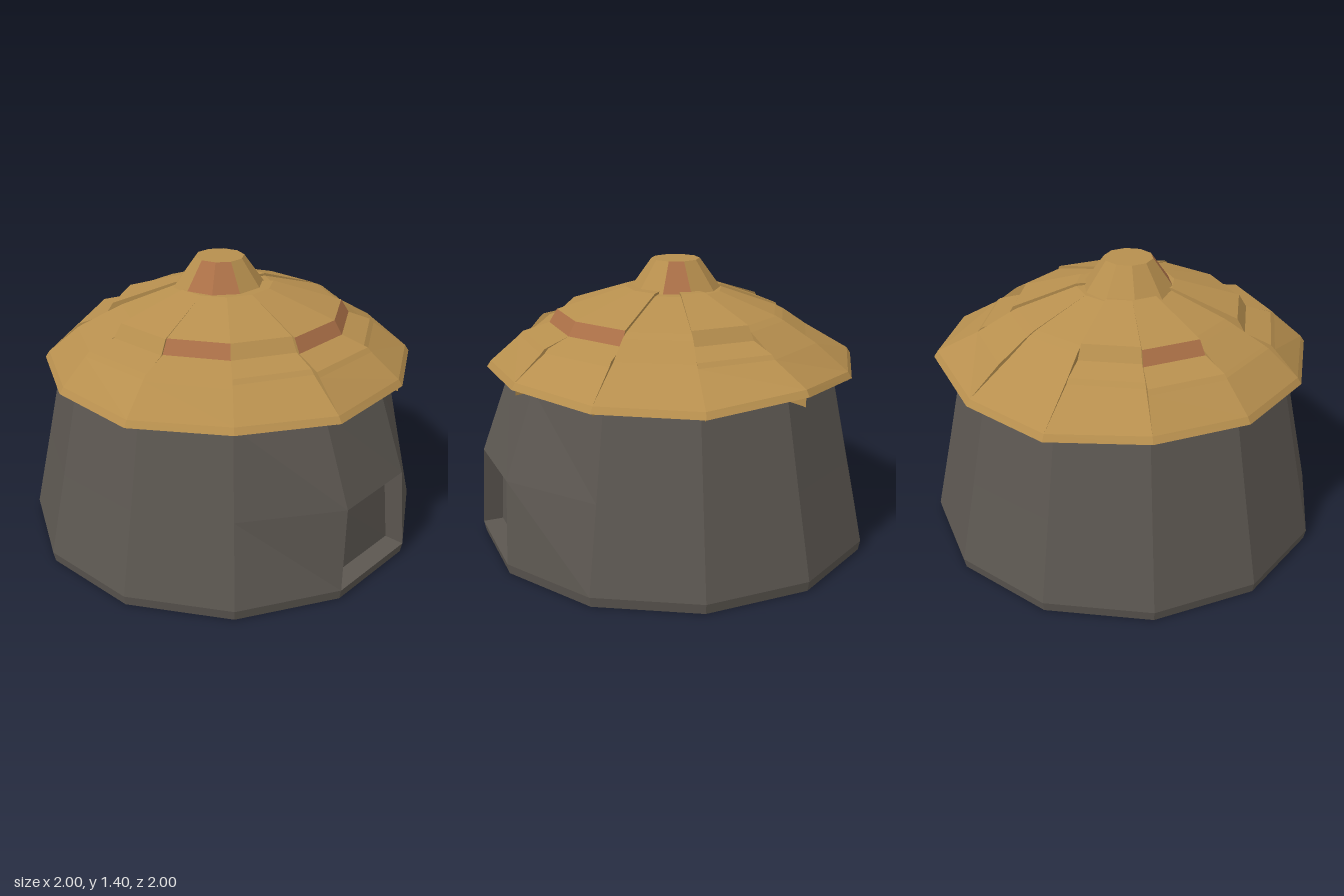
import * as THREE from 'three';

const SIDES = 12;
const STEP = (Math.PI * 2) / SIDES;
const wallMat = new THREE.MeshStandardMaterial({ color: 0x5c5751, flatShading: true });
const thatchMat = new THREE.MeshStandardMaterial({ color: 0xb78f4e, flatShading: true });
const brownMat = new THREE.MeshStandardMaterial({ color: 0xab7047, flatShading: true });

// Point at corner k of a ring
const at = (k, r, y, step = STEP) => new THREE.Vector3(r * Math.cos(k * step), y, r * Math.sin(k * step));

// Collects flat faces; corners run counter-clockwise seen from outside
class Faces {
  constructor() { this.points = []; }
  add(...p) {
    for (let i = 1; i < p.length - 1; i++) this.points.push(p[0], p[i], p[i + 1]);
  }
  mesh(name, material) {
    const geometry = new THREE.BufferGeometry().setFromPoints(this.points);
    geometry.computeVertexNormals();
    const mesh = new THREE.Mesh(geometry, material);
    mesh.name = name;
    return mesh;
  }
}

// Tapered wall, flared out above a recessed doorway on the +x side
function buildWall() {
  const group = new THREE.Group();
  group.name = 'wall';
  const wall = new Faces(), door = new Faces(), floor = new Faces();
  const rings = [[0.99, 0], [1, 0.05], [0.91, 0.46], [0.82, 0.88]];
  const corner = (k, j) => {
    k %= SIDES;
    if (j === 2 && k === 0) return new THREE.Vector3(0.97, 0.46, 0.02);
    if (j === 2 && k === 1) return new THREE.Vector3(0.86, 0.46, 0.46);
    return at(k, ...rings[j]);
  };
  for (let k = 0; k < SIDES; k++) {
    for (let j = 0; j < 3; j++) {
      if (k === 0 && j === 1) continue;
      wall.add(corner(k, j), corner(k, j + 1), corner(k + 1, j + 1), corner(k + 1, j));
    }
    floor.add(new THREE.Vector3(), corner(k, 0), corner(k + 1, 0));
  }
  // Doorway: back panel, jambs, lintel and sill
  const outer = [corner(0, 1), corner(0, 2), corner(1, 2), corner(1, 1)];
  const inward = at(0.5, -0.1, 0);
  const inner = outer.map(p => p.clone().add(inward));
  door.add(...inner);
  for (let i = 0; i < 4; i++) {
    const n = (i + 1) % 4;
    door.add(outer[i], outer[n], inner[n], inner[i]);
  }
  group.add(wall.mesh('wallPanels', wallMat), door.mesh('doorway', wallMat), floor.mesh('floor', wallMat));
  return group;
}

// Layered roof made of uneven wedges
function buildRoof() {
  const group = new THREE.Group();
  group.name = 'roof';
  const thatch = new Faces(), risers = new Faces();
  const eaves = [0.93, 0.935, 0.9, 0.93, 0.9, 0.9, 0.89, 0.93, 0.91, 0.95, 0.96, 0.94];
  const lift = { 0: 0.015, 9: 0.035 };
  // Per wedge: radius of lower tier, radius of upper tier, stepped or smooth, brown riser
  const wedges = [
    [0.77, 0.58, 1, 1], [0.73, 0.56, 1, 0], [0.77, 0.56, 1, 1], [0.76, 0.57, 1, 0],
    [0.73, 0.51, 0, 0], [0.74, 0.55, 1, 1], [0.68, 0.52, 1, 0], [0.70, 0.52, 0, 0],
    [0.73, 0.53, 0, 0], [0.73, 0.55, 1, 0], [0.73, 0.57, 0, 0], [0.75, 0.58, 1, 1],
  ];
  wedges.forEach(([low, high, stepped, brown], k) => {
    const profile = c => {
      const e = eaves[c % SIDES], up = lift[c % SIDES] ?? 0;
      return [
        [0.8, 0.87], [e, 0.885 + up], [e - 0.02, 0.915 + up], [low, 1.04],
        [low - 0.02, stepped ? 1.06 : 1.052],
        [high + 0.04, stepped ? 1.1 : 1.135],
        [high, stepped ? 1.165 : 1.155],
        [0.24, stepped ? 1.268 : 1.255], [0, 1.27],
      ].map(([r, y]) => at(c, r, y));
    };
    const a = profile(k), b = profile(k + 1);
    for (let j = 0; j < a.length - 1; j++) {
      (brown && j === 5 ? risers : thatch).add(a[j], a[j + 1], b[j + 1], b[j]);
    }
    // Radial side walls show where neighbouring wedges differ
    const drop = p => new THREE.Vector3(p.x, 0.87, p.z);
    for (let j = 2; j < a.length - 1; j++) {
      thatch.add(drop(a[j]), drop(a[j + 1]), a[j + 1], a[j]);
      thatch.add(b[j], b[j + 1], drop(b[j + 1]), drop(b[j]));
    }
  });
  group.add(thatch.mesh('thatchTiers', thatchMat), risers.mesh('brownRisers', brownMat));
  return group;
}

// Faceted crown at the peak
function buildCrown() {
  const group = new THREE.Group();
  group.name = 'crown';
  const pale = new Faces(), dark = new Faces();
  const n = 10, s = (Math.PI * 2) / n;
  for (let k = 0; k < n; k++) {
    const side = [at(k, 0.235, 1.24, s), at(k, 0.12, 1.4, s), at(k + 1, 0.12, 1.4, s), at(k + 1, 0.235, 1.24, s)];
    ([1, 2, 8].includes(k) ? dark : pale).add(...side);
    pale.add(new THREE.Vector3(0, 1.4, 0), side[2], side[1]);
  }
  group.add(pale.mesh('crownThatch', thatchMat), dark.mesh('crownBrownFacets', brownMat));
  group.position.set(-0.02, 0, 0.012);
  return group;
}

export function createModel() {
  const model = new THREE.Group();
  model.name = 'roundHut';
  model.add(buildWall(), buildRoof(), buildCrown());
  return model;
}
